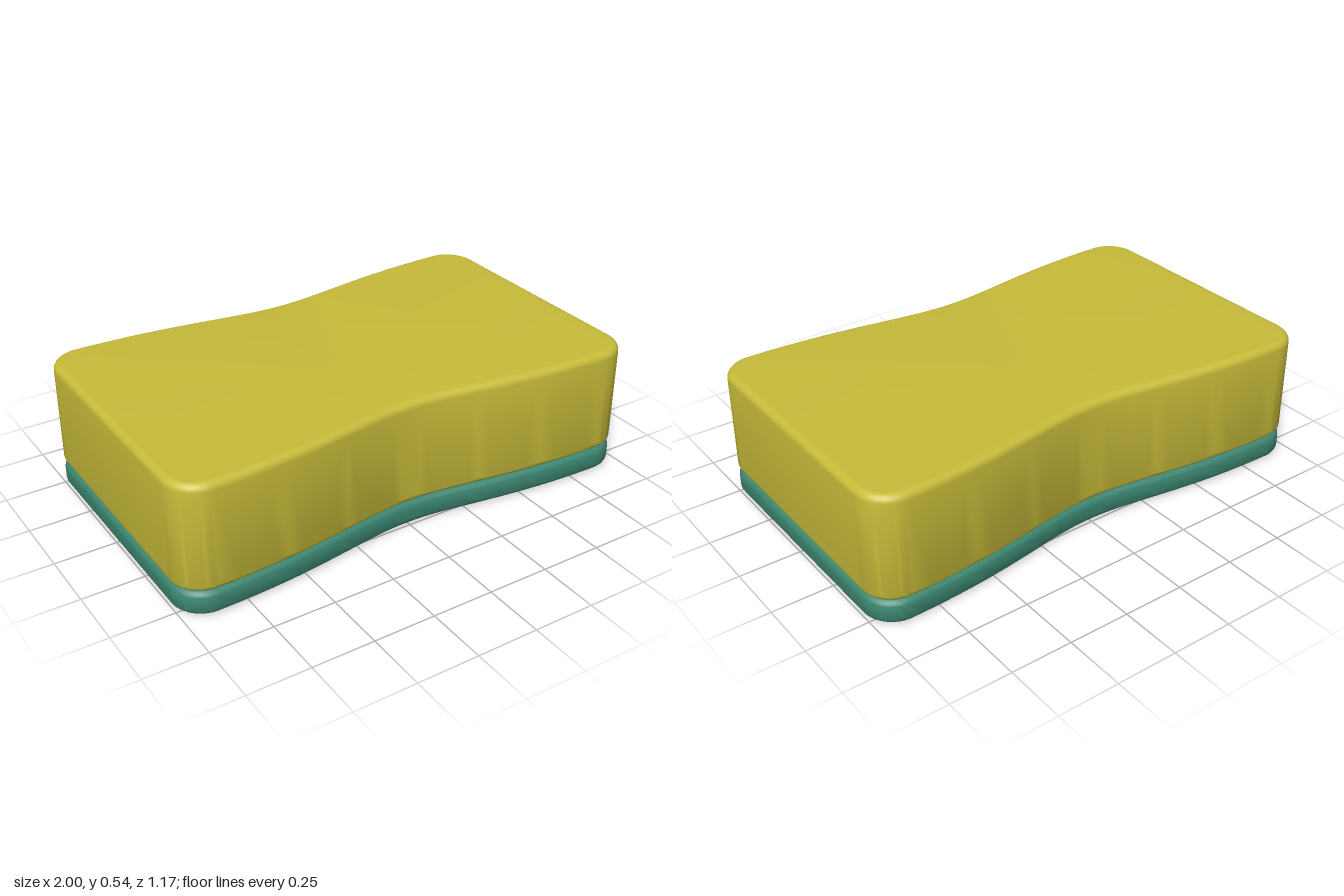
import * as THREE from 'three';
import { toCreasedNormals } from 'three/addons/utils/BufferGeometryUtils.js';

const yellow = new THREE.MeshStandardMaterial({ color: 0xc8bc3a });
yellow.name = 'foam yellow';
const green = new THREE.MeshStandardMaterial({ color: 0x3b8570 });
green.name = 'scouring green';

// Waisted rectangle with rounded corners
function outline() {
  const w = 1, d = 0.587, waist = 0.5, r = 0.13, k = r * 0.448;
  const s = new THREE.Shape();
  s.moveTo(w, -d + r);
  s.lineTo(w, d - r);
  s.bezierCurveTo(w, d - k, w - k, d, w - r, d);
  s.bezierCurveTo(0.42, d - 0.005, 0.22, waist, 0, waist);
  s.bezierCurveTo(-0.22, waist, -0.42, d - 0.005, -w + r, d);
  s.bezierCurveTo(-w + k, d, -w, d - k, -w, d - r);
  s.lineTo(-w, -d + r);
  s.bezierCurveTo(-w, -d + k, -w + k, -d, -w + r, -d);
  s.bezierCurveTo(-0.42, -d + 0.005, -0.22, -waist, 0, -waist);
  s.bezierCurveTo(0.22, -waist, 0.42, -d + 0.005, w - r, -d);
  s.bezierCurveTo(w - k, -d, w, -d + k, w, -d + r);
  return s;
}

// Slab with softly rounded rims, from height y0 to y1
function slab(name, y0, y1, bevel, material) {
  const geometry = new THREE.ExtrudeGeometry(outline(), {
    depth: y1 - y0 - 2 * bevel,
    curveSegments: 16,
    bevelEnabled: true,
    bevelThickness: bevel,
    bevelSize: bevel,
    bevelOffset: -bevel,
    bevelSegments: 5,
  });
  geometry.rotateX(-Math.PI / 2);
  geometry.translate(0, y0 + bevel, 0);
  const mesh = new THREE.Mesh(toCreasedNormals(geometry, Math.PI / 5), material);
  mesh.name = name;
  return mesh;
}

export function createModel() {
  const group = new THREE.Group();
  group.name = 'sponge';
  group.add(slab('scouringPad', 0, 0.1, 0.03, green));
  group.add(slab('foamBlock', 0.1, 0.54, 0.03, yellow));
  return group;
}
